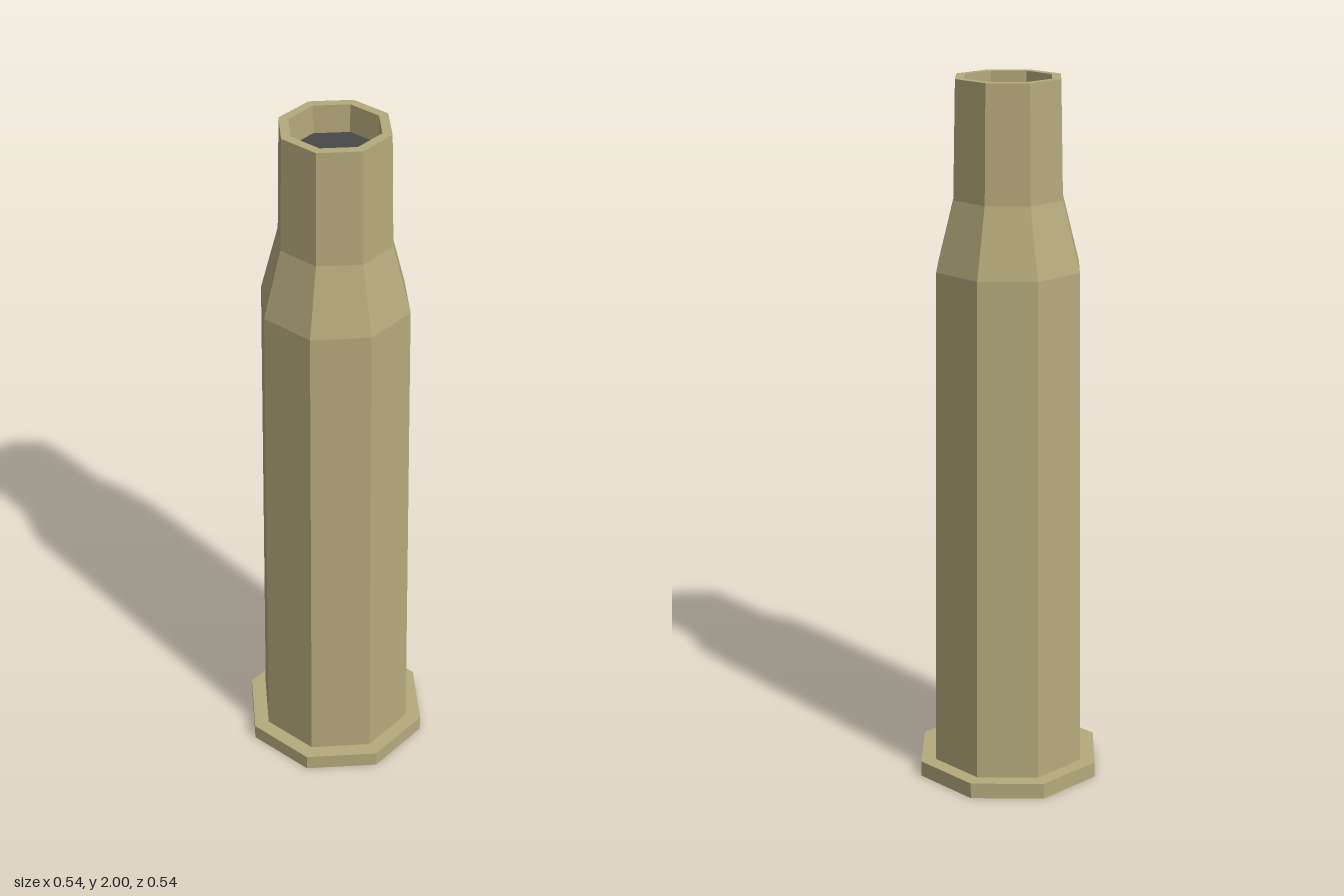
import * as THREE from 'three';

const SIDES = 8;

export function createModel() {
  const group = new THREE.Group();
  group.name = 'cartridgeCase';

  const brass = new THREE.MeshStandardMaterial({ color: 0xb5aa7c, flatShading: true });
  const dark = new THREE.MeshStandardMaterial({ color: 0x484848, flatShading: true });

  // Turn a [radius, height] profile into an eight-sided part
  const turn = (name, profile, material) => {
    const points = profile.map(([r, y]) => new THREE.Vector2(r, y));
    const mesh = new THREE.Mesh(new THREE.LatheGeometry(points, SIDES), material);
    mesh.name = name;
    group.add(mesh);
  };

  // Base disc with its projecting rim
  turn('baseRim', [[0, 0], [0.27, 0], [0.27, 0.045], [0.22, 0.045]], brass);

  // Tapered body, shoulder, neck, mouth lip and inner wall
  turn('caseBody', [
    [0.225, 0.045], [0.211, 1.48], [0.16, 1.675], [0.153, 2], [0.126, 2], [0.126, 1.92],
  ], brass);

  // Dark floor just inside the mouth
  turn('mouthFloor', [[0.126, 1.92], [0, 1.92]], dark);

  return group;
}
